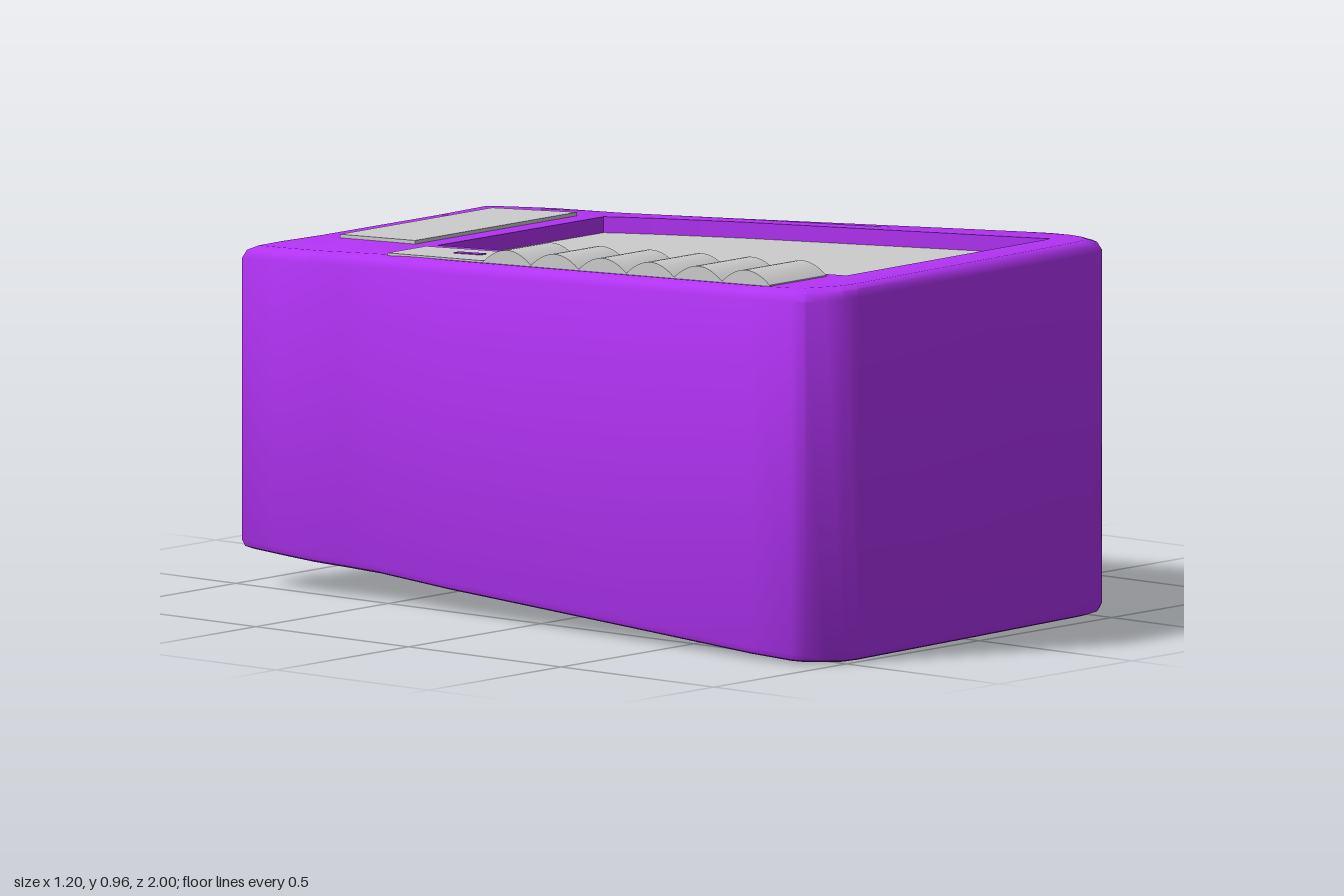
import * as THREE from 'three';
import { mergeGeometries, toCreasedNormals } from 'three/addons/utils/BufferGeometryUtils.js';

const purple = new THREE.MeshStandardMaterial({ color: 0xb233f5 });
const grey = new THREE.MeshStandardMaterial({ color: 0xcccccc });
const black = new THREE.MeshStandardMaterial({ color: 0x2a2a2a });

// sloping top and bottom planes of the case
const topY = (z) => 0.9 + 0.048 * z;
const bottomY = (z) => 0.052 - 0.046 * z;

// outlines as [x, z], clockwise seen from above
const caseOutline = [
  [-0.5, -0.98], [-0.4, -0.982], [-0.26, -0.97], [0.0, -0.968], [0.2, -0.966], [0.4, -0.975],
  [0.412, -0.96], [0.43, -0.87], [0.445, -0.78], [0.445, -0.55], [0.48, -0.22], [0.53, 0.17],
  [0.575, 0.53], [0.594, 0.7], [0.6, 0.77], [0.592, 0.84], [0.575, 0.89], [0.55, 0.925],
  [0.52, 0.945], [0.48, 0.955], [0, 0.977], [-0.45, 0.995], [-0.5, 0.99], [-0.54, 0.965],
  [-0.58, 0.935], [-0.594, 0.9], [-0.6, 0.77], [-0.575, 0.4], [-0.533, -0.3], [-0.503, -0.55],
  [-0.508, -0.65], [-0.517, -0.76], [-0.51, -0.87],
];
const screenOutline = [
  [-0.28, -0.53], [0.34, -0.525], [0.353, -0.47], [0.37, -0.38], [0.388, -0.25], [0.405, -0.12],
  [0.475, 0.82], [-0.31, 0.835],
];
const plateOutline = [[-0.268, -0.86], [0.305, -0.86], [0.325, -0.6], [-0.285, -0.6]];

const inset = (pts, d) => pts.map(([x, z]) => [x * (1 - d / 0.52), z * (1 - d / 0.98)]);
const ring = (pts, yOf) => pts.map(([x, z]) => [x, yOf(z), z]);

// wall through a list of rings with equal point counts
function skin(rings) {
  const pos = [];
  const n = rings[0].length;
  for (let j = 0; j < rings.length - 1; j++) {
    for (let i = 0; i < n; i++) {
      const k = (i + 1) % n;
      const a = rings[j][i], b = rings[j][k], c = rings[j + 1][k], d = rings[j + 1][i];
      pos.push(...a, ...c, ...b, ...a, ...d, ...c);
    }
  }
  return new THREE.BufferGeometry().setAttribute('position', new THREE.Float32BufferAttribute(pos, 3));
}

// flat cover of an outline, following a height rule
function cover(pts, yOf, hole, faceDown) {
  const v = (p) => p.map(([x, z]) => new THREE.Vector2(x, -z));
  const shape = new THREE.Shape(v(pts));
  if (hole) shape.holes.push(new THREE.Path(v(hole)));
  let g = new THREE.ShapeGeometry(shape);
  if (faceDown) g.setIndex(Array.from(g.index.array).reverse());
  g.rotateX(-Math.PI / 2);
  g = g.toNonIndexed();
  const p = g.attributes.position;
  for (let i = 0; i < p.count; i++) p.setY(i, yOf(p.getZ(i)));
  g.deleteAttribute('uv');
  g.deleteAttribute('normal');
  return g;
}

function addMesh(group, name, parts, material, crease = 0.6) {
  const mesh = new THREE.Mesh(toCreasedNormals(mergeGeometries(parts), crease), material);
  mesh.name = name;
  group.add(mesh);
  return mesh;
}

// piece of the side strip between two z values, with an arched top
function stripPiece(z0, z1, rise, arch) {
  const g = new THREE.BoxGeometry(1, 1, 1, 1, 1, arch ? 14 : 1).toNonIndexed();
  const p = g.attributes.position;
  for (let i = 0; i < p.count; i++) {
    const u = p.getZ(i) * 2;
    const z = z0 + (z1 - z0) * (u + 1) / 2;
    const t = (z + 0.52) / 1.32;
    const left = -0.48 - 0.08 * t, right = -0.335 - 0.01 * t;
    const y = topY(z) + (p.getY(i) > 0 ? rise + arch * (1 - u * u) : -0.03);
    p.setXYZ(i, p.getX(i) < 0 ? left : right, y, z);
  }
  g.deleteAttribute('uv');
  g.deleteAttribute('normal');
  return g;
}

export function createModel() {
  const group = new THREE.Group();

  // case with softened edges and a pocket for the screen
  const drop = (d) => (z) => topY(z) - d;
  const lift = (d) => (z) => bottomY(z) + d;
  const rim = inset(caseOutline, 0.03);
  const foot = inset(caseOutline, 0.02);
  const floorY = drop(0.04);
  addMesh(group, 'case', [
    skin([
      ring(foot, bottomY), ring(inset(caseOutline, 0.006), lift(0.006)), ring(caseOutline, lift(0.022)),
      ring(caseOutline, drop(0.03)), ring(inset(caseOutline, 0.009), drop(0.01)), ring(rim, topY),
    ]),
    cover(rim, topY, screenOutline),
    cover(foot, bottomY, null, true),
    skin([ring(screenOutline, topY), ring(screenOutline, floorY)]),
  ], purple, 0.75);

  // sunken screen
  addMesh(group, 'screen', [cover(screenOutline, floorY)], grey);

  // push plate behind the screen
  const plateY = drop(-0.009);
  addMesh(group, 'pushPlate', [
    skin([ring(plateOutline, drop(0.02)), ring(plateOutline, plateY)]),
    cover(plateOutline, plateY),
  ], grey);

  // side strip: flat end and six arched keys
  addMesh(group, 'stripEnd', [stripPiece(-0.52, -0.19, 0.005, 0)], grey);
  const pitch = 0.99 / 6;
  for (let i = 0; i < 6; i++) {
    const z = -0.19 + i * pitch;
    addMesh(group, 'key' + (i + 1), [stripPiece(z, z + pitch, 0.003, 0.033)], grey);
  }

  // slot marker on the strip
  const slot = new THREE.Mesh(new THREE.BoxGeometry(0.022, 0.012, 0.09), purple);
  slot.name = 'slot';
  slot.position.set(-0.405, topY(-0.315) + 0.001, -0.315);
  slot.rotation.x = -0.048;
  group.add(slot);

  // small plug on the back
  const plug = new THREE.Mesh(new THREE.CylinderGeometry(0.028, 0.028, 0.04, 8), black);
  plug.name = 'backPlug';
  plug.rotation.set(Math.PI / 2, Math.PI / 8, 0);
  plug.position.set(-0.41, 0.175, -0.98);
  group.add(plug);

  return group;
}
